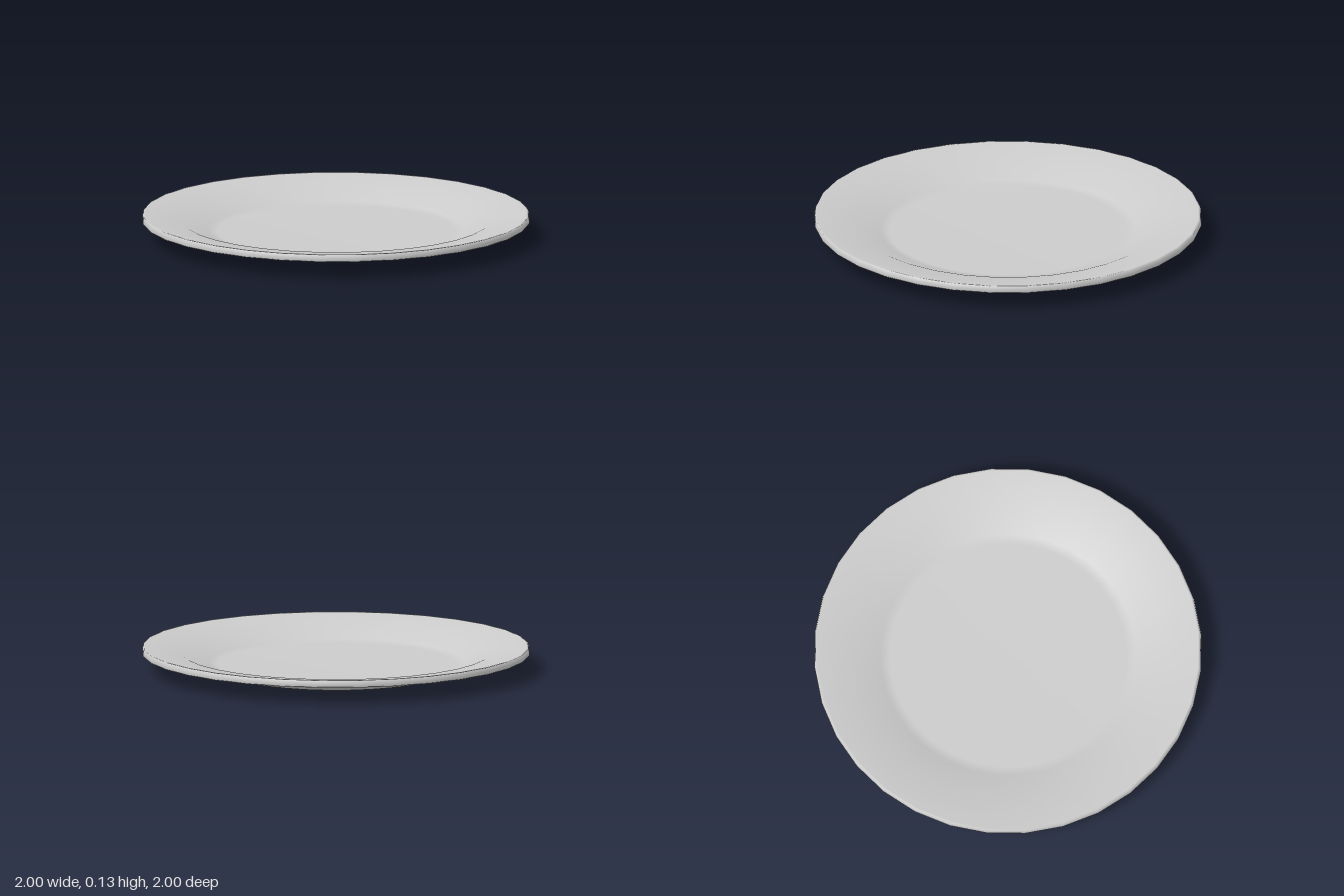
import * as THREE from 'three';

export function createModel() {
  const group = new THREE.Group();
  group.name = 'plate';

  // Closed cross-section: underside centre, out to the rim, back over the top
  const profile = [
    [0, 0], [0.57, 0], [0.59, 0.004], [0.8, 0.063], [0.998, 0.092],
    [1, 0.097], [1, 0.11], [0.995, 0.128], [0.985, 0.128],
    [0.8, 0.1], [0.66, 0.045], [0.61, 0.035], [0, 0.035],
  ].map(([r, y]) => new THREE.Vector2(r, y));

  const dish = new THREE.Mesh(
    new THREE.LatheGeometry(profile, 32),
    new THREE.MeshStandardMaterial({ color: 0xcccccc })
  );
  dish.name = 'dish';
  group.add(dish);
  return group;
}
